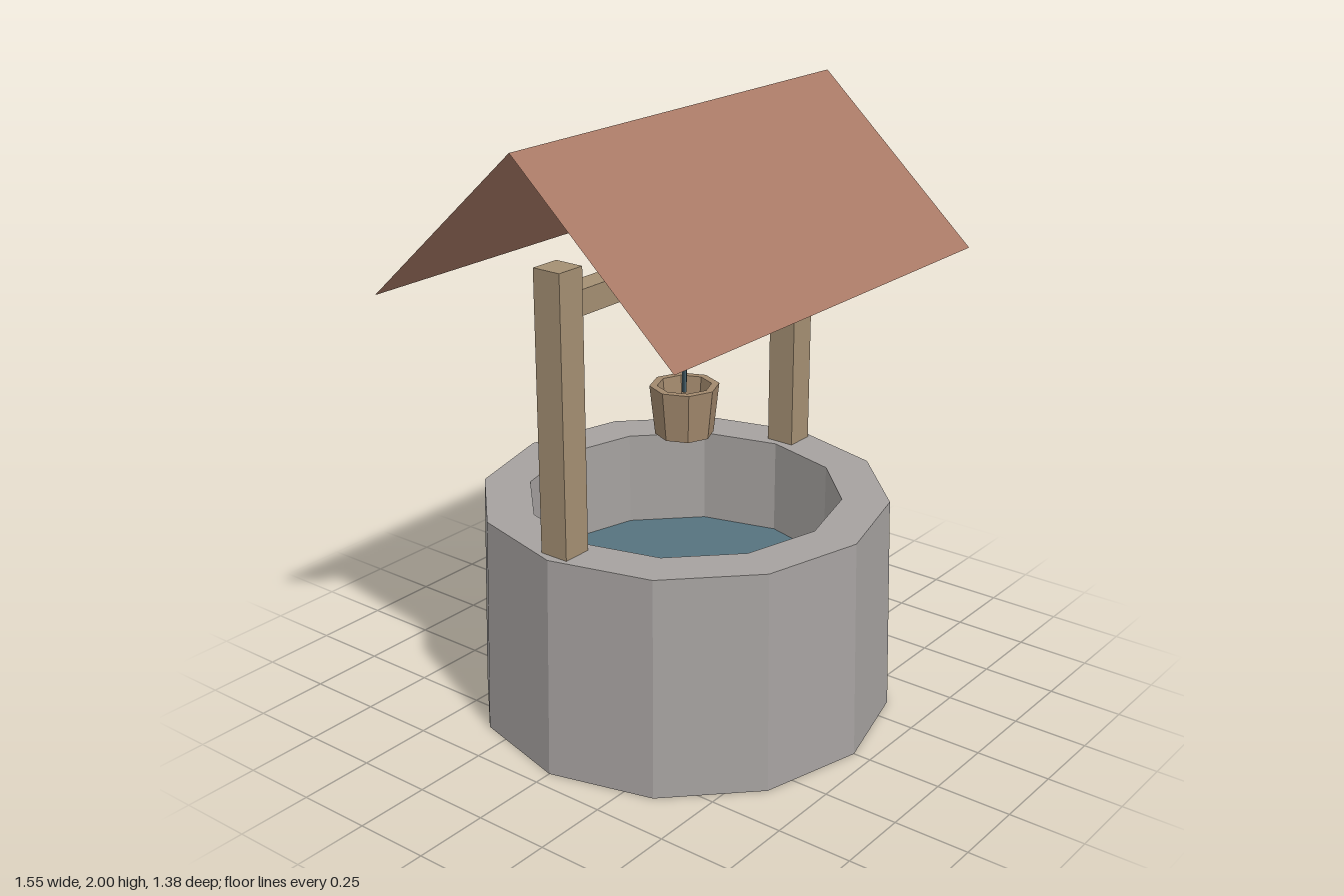
import * as THREE from 'three';

const mat = (name, color, extra = {}) => {
  const m = new THREE.MeshStandardMaterial({ color, flatShading: true, ...extra });
  m.name = name;
  return m;
};

export function createModel() {
  const model = new THREE.Group();
  model.name = 'well';
  const open = { side: THREE.DoubleSide };
  const stone = mat('stone', 0xa6a2a0, open);
  const wood = mat('wood', 0xa48f73);
  const bucketWood = mat('bucketWood', 0xa2896d, open);
  const clay = mat('roofClay', 0xa87965, open);
  const water = mat('water', 0x56737f, open);
  const ropeBlue = mat('ropeBlue', 0x465f6b);

  const add = (name, geometry, material, x = 0, y = 0, z = 0) => {
    const mesh = new THREE.Mesh(geometry, material);
    mesh.name = name;
    mesh.position.set(x, y, z);
    model.add(mesh);
    return mesh;
  };
  const lathe = (points, sides) =>
    new THREE.LatheGeometry(points.map(([r, y]) => new THREE.Vector2(r, y)), sides);

  // Twelve-sided wall: tapered outside, flat rim, short inner lining, open below
  add('stoneWall', lathe([[0.69, 0], [0.67, 0.735], [0.515, 0.735], [0.515, 0.34]], 12), stone);

  // Water surface, corners lined up with the wall
  const surface = new THREE.CircleGeometry(0.515, 12).rotateX(-Math.PI / 2);
  add('waterSurface', surface, water, 0, 0.41, 0);

  // Posts on the rim and the bar between them
  for (const [name, side] of [['leftPost', 1], ['rightPost', -1]]) {
    add(name, new THREE.BoxGeometry(0.1, 0.9, 0.1), wood, side * 0.59, 1.185, 0);
  }
  add('crossbar', new THREE.BoxGeometry(1.08, 0.08, 0.08), wood, 0, 1.52, 0);

  // Rope and hollow eight-sided bucket
  add('rope', new THREE.CylinderGeometry(0.008, 0.008, 0.41, 6), ropeBlue, 0, 1.285, 0);
  add('bucket', lathe([[0, 0.94], [0.095, 0.94], [0.113, 1.105], [0.088, 1.105],
    [0.075, 0.98], [0, 0.98]], 8), bucketWood);

  // Two thin roof slopes meeting at the ridge
  const run = 0.572, rise = 0.515;
  for (const [name, turn] of [['frontRoofSlope', 0], ['backRoofSlope', Math.PI]]) {
    const slope = new THREE.PlaneGeometry(1.55, Math.hypot(run, rise));
    slope.rotateX(-Math.atan2(run, rise)).translate(0, 2 - rise / 2, run / 2).rotateY(turn);
    add(name, slope, clay);
  }
  return model;
}
